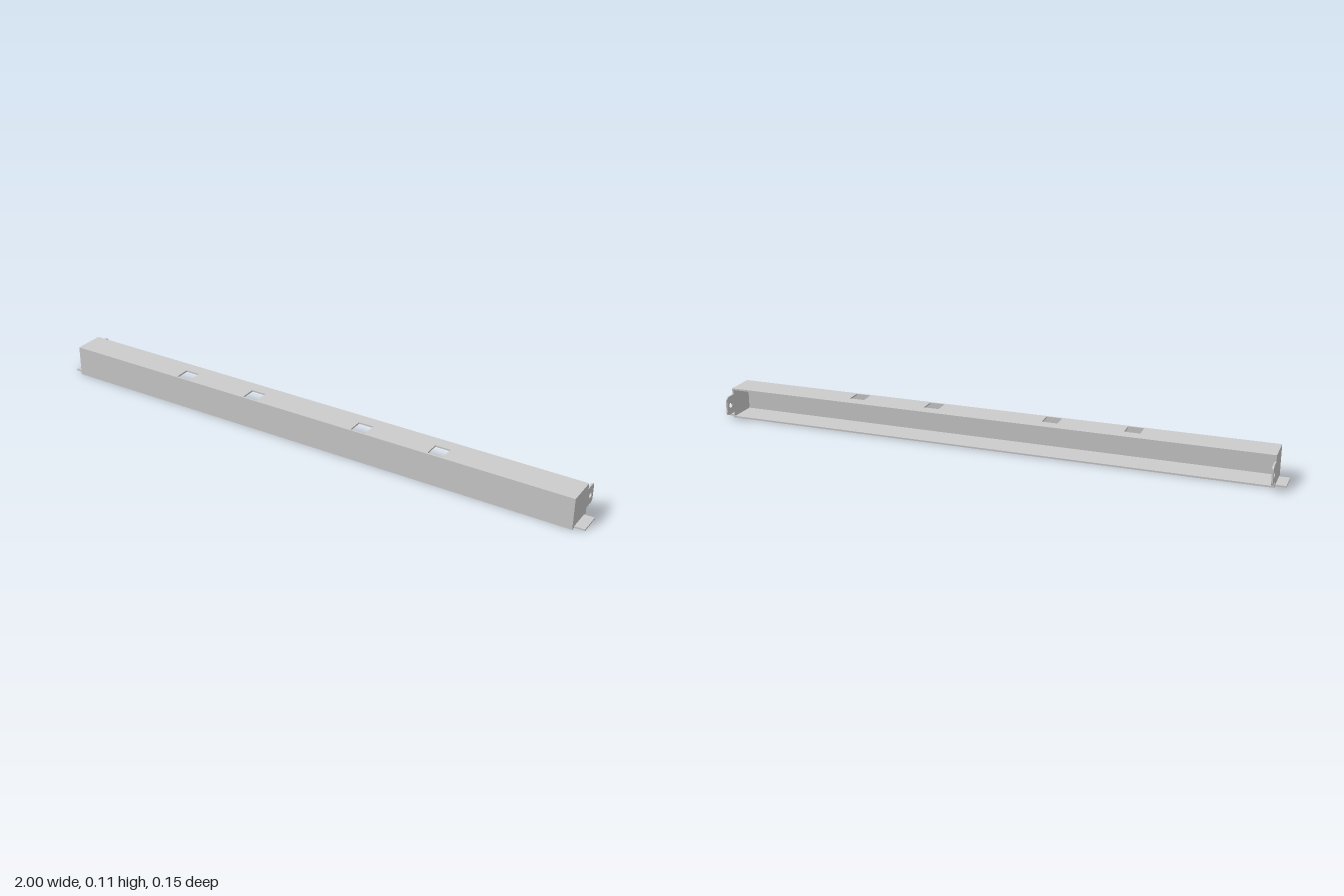
import * as THREE from 'three';

const T = 0.0055;                    // sheet thickness
const X = 0.965, H = 0.109;          // half length and height of the channel
const ZF = 0.077, ZB = -0.029;       // front face and open back

export function createModel() {
  const group = new THREE.Group();
  const material = new THREE.MeshStandardMaterial({ color: 0xcccccc });
  const add = (name, geometry, x = 0, y = 0, z = 0) => {
    const mesh = new THREE.Mesh(geometry, material);
    mesh.name = name;
    mesh.position.set(x, y, z);
    group.add(mesh);
  };
  const rect = (x0, y0, x1, y1, Type = THREE.Shape) => new Type([
    [x0, y0], [x1, y0], [x1, y1], [x0, y1],
  ].map(([x, y]) => new THREE.Vector2(x, y)));
  const sheet = (shape) => new THREE.ExtrudeGeometry(shape, { depth: T, bevelEnabled: false, curveSegments: 12 });

  // Front wall and floor of the channel, open at the back
  const inner = 2 * (X - T);
  add('frontWall', new THREE.BoxGeometry(inner, H - 2 * T, T), 0, H / 2, ZF - T / 2);
  add('bottomPlate', new THREE.BoxGeometry(inner, T, ZF - ZB), 0, T / 2, (ZF + ZB) / 2);

  // Top plate with four square openings (shape y is -z)
  const top = rect(-X + T, -ZF, X - T, -ZB);
  for (const x of [-0.493, -0.212, 0.212, 0.493]) {
    top.holes.push(rect(x - 0.027, -0.07, x + 0.027, -0.016, THREE.Path));
  }
  add('topPlate', sheet(top).rotateX(-Math.PI / 2), 0, H - T, 0);

  // End plate with a rounded, drilled ear at the back (shape x is -z)
  const end = new THREE.Shape();
  const ear = 0.076, y0 = 0.022, y1 = 0.088, r = 0.011;
  end.moveTo(-ZF, 0);
  end.lineTo(-ZB, 0);
  end.lineTo(-ZB, y0);
  end.lineTo(ear - r, y0);
  end.absarc(ear - r, y0 + r, r, -Math.PI / 2, 0);
  end.absarc(ear - r, y1 - r, r, 0, Math.PI / 2);
  end.lineTo(-ZB, y1);
  end.lineTo(-ZB, H);
  end.lineTo(-ZF, H);
  end.closePath();
  end.holes.push(new THREE.Path().absarc(0.053, H / 2, 0.01, 0, Math.PI * 2, true));
  const endGeometry = sheet(end).rotateY(Math.PI / 2);

  // Both ends: plate with ear, and a flat tab at floor level
  for (const [side, s] of [['left', 1], ['right', -1]]) {
    add(side + 'EndPlate', endGeometry, s * (X - T / 2) - T / 2);
    add(side + 'Tab', new THREE.BoxGeometry(1 - X, T, 0.077), s * (1 + X) / 2, T / 2, 0.024);
  }
  return group;
}
